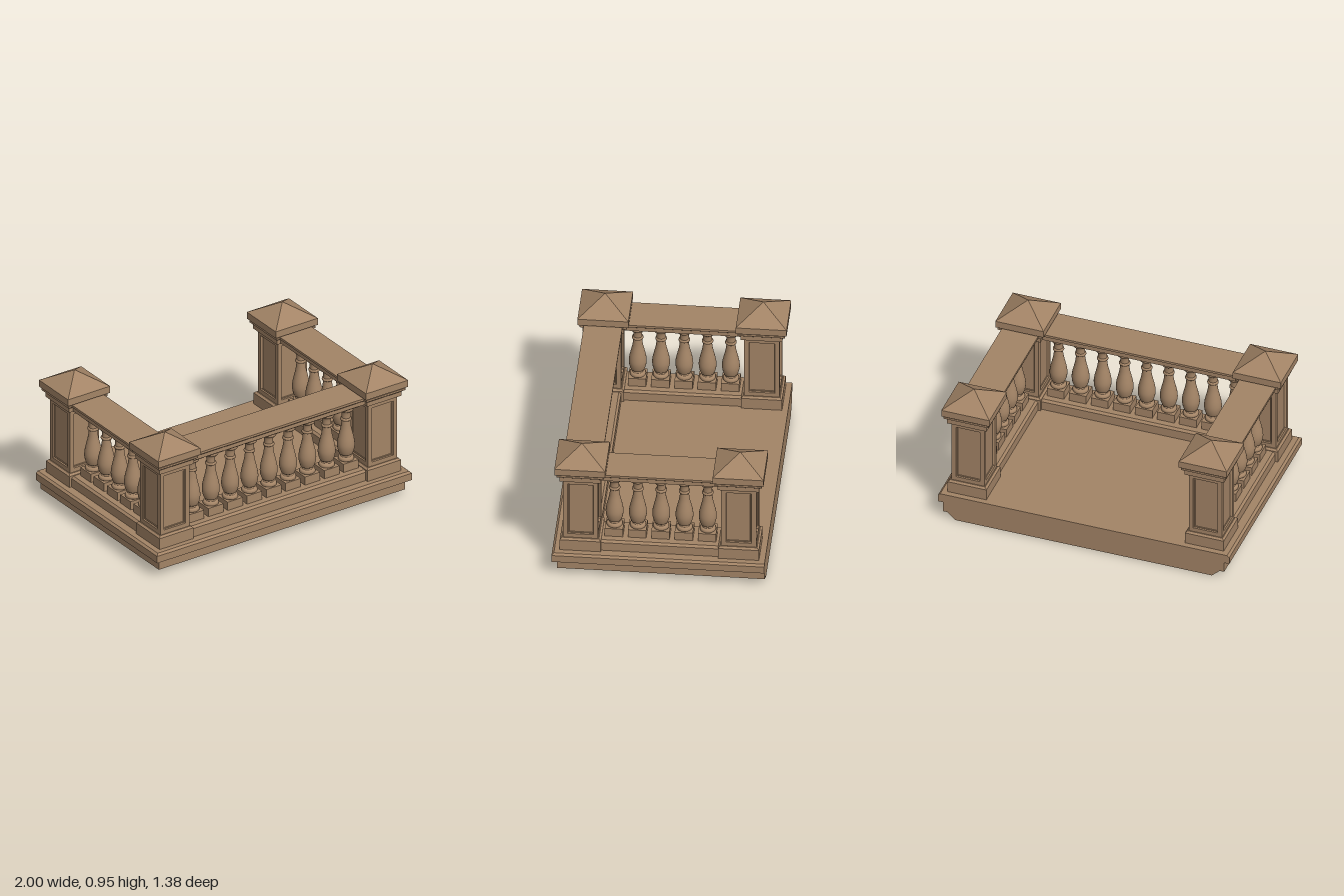
import * as THREE from 'three';

const stone = new THREE.MeshStandardMaterial({ color: 0xa38466 });
stone.name = 'warm stone';

const PX = 0.815, ZF = 0.508, ZB = -0.518; // pillar centres

// Stacks rectangles [y, x0, x1, z0, z1] into a flat-faced solid
function stack(levels, closedBelow = true) {
  const pos = [];
  const ring = ([y, x0, x1, z0, z1]) => [[x0, y, z1], [x1, y, z1], [x1, y, z0], [x0, y, z0]];
  const quad = (a, b, c, d) => pos.push(...a, ...b, ...c, ...a, ...c, ...d);
  const rings = levels.map(ring);
  for (let i = 0; i < rings.length - 1; i++) {
    for (let k = 0; k < 4; k++) {
      const n = (k + 1) % 4;
      quad(rings[i][k], rings[i][n], rings[i + 1][n], rings[i + 1][k]);
    }
  }
  quad(...rings[rings.length - 1]);
  if (closedBelow) quad(...[...rings[0]].reverse());
  const g = new THREE.BufferGeometry();
  g.setAttribute('position', new THREE.Float32BufferAttribute(pos, 3));
  g.computeVertexNormals();
  return g;
}
// Centred version taking [y, halfX, halfZ]
const centred = (levels, closedBelow) =>
  stack(levels.map(([y, x, z = x]) => [y, -x, x, -z, z]), closedBelow);

function add(parent, name, geometry, x = 0, y = 0, z = 0) {
  const m = new THREE.Mesh(geometry, stone);
  m.name = name;
  m.position.set(x, y, z);
  parent.add(m);
  return m;
}

// Moulded floor slab, flat at the back
const slabGeo = stack([
  [0, 0.88, 0.55], [0.05, 0.935, 0.615], [0.05, 0.965, 0.658], [0.122, 0.965, 0.658],
  [0.122, 1, 0.69], [0.172, 1, 0.69], [0.185, 0.985, 0.675],
].map(([y, x, z]) => [y, -x, x, -0.69, z]));

// Pillar pieces
const plinthGeo = centred([[0.18, 0.133], [0.264, 0.133], [0.276, 0.12], [0.276, 0.1]]);
const capitalGeo = centred([
  [0.735, 0.135], [0.766, 0.135], [0.78, 0.153], [0.793, 0.153], [0.804, 0.145],
  [0.804, 0.165], [0.852, 0.165], [0.95, 0.0005],
]);
// One face of the shaft with a sunken panel
const panelGeo = centred([
  [0, 0.114, 0.235], [0, 0.084, 0.198], [-0.008, 0.08, 0.194], [-0.008, 0.075, 0.189], [-0.012, 0.073, 0.187],
], false).rotateX(Math.PI / 2).translate(0, 0.503, 0.114);

function pillar(x, z) {
  const g = new THREE.Group();
  g.name = 'pillar';
  g.position.set(x, 0, z);
  add(g, 'plinth', plinthGeo);
  for (let i = 0; i < 4; i++) add(g, 'shaftPanel', panelGeo).rotation.y = i * Math.PI / 2;
  add(g, 'capital', capitalGeo);
  return g;
}

// Turned baluster body between two square blocks
const footGeo = new THREE.BoxGeometry(0.118, 0.062, 0.118);
const headGeo = new THREE.BoxGeometry(0.118, 0.036, 0.118);
function curvePart(points) {
  const v = points.map(([r, y]) => new THREE.Vector2(r, y));
  const smooth = new THREE.SplineCurve(v).getPoints(points.length * 3);
  return new THREE.LatheGeometry(smooth, 24);
}
const turned = [
  ['footRing', [[0.03, 0.318], [0.049, 0.32], [0.052, 0.33], [0.048, 0.341], [0.036, 0.346]]],
  ['footNeck', [[0.04, 0.342], [0.034, 0.35], [0.035, 0.357], [0.044, 0.363]]],
  ['belly', [[0.044, 0.363], [0.053, 0.39], [0.058, 0.425], [0.054, 0.465], [0.044, 0.51], [0.034, 0.555], [0.028, 0.605]]],
  ['collar', [[0.026, 0.605], [0.036, 0.609], [0.037, 0.616], [0.034, 0.624], [0.026, 0.626]]],
  ['neck', [[0.029, 0.622], [0.029, 0.65], [0.032, 0.668], [0.038, 0.675]]],
  ['headRing', [[0.034, 0.673], [0.046, 0.679], [0.051, 0.69], [0.05, 0.7], [0.044, 0.708]]],
].map(([name, pts]) => [name, curvePart(pts)]);

function baluster(x, z) {
  const g = new THREE.Group();
  g.name = 'baluster';
  g.position.set(x, 0, z);
  add(g, 'footBlock', footGeo, 0, 0.289, 0);
  for (const [name, geo] of turned) add(g, name, geo);
  add(g, 'headBlock', headGeo, 0, 0.723, 0);
  return g;
}

// Top and bottom rails, running along x with the given half length
function rails(half) {
  const g = new THREE.Group();
  g.name = 'rails';
  add(g, 'bottomRail', centred([[0.18, half, 0.115], [0.246, half, 0.115], [0.26, half, 0.1]]));
  add(g, 'topRail', centred([
    [0.739, half, 0.107], [0.766, half, 0.107], [0.78, half, 0.125], [0.796, half, 0.125],
  ]));
  return g;
}

export function createModel() {
  const model = new THREE.Group();
  model.name = 'balcony';
  add(model, 'floorSlab', slabGeo);

  // Front run
  const front = rails(0.72);
  front.position.z = ZF;
  model.add(front);
  for (let i = -4; i <= 4; i++) model.add(baluster(i * 0.1515, ZF));

  // Both sides
  const midZ = (ZF + ZB) / 2;
  for (const s of [-1, 1]) {
    model.add(pillar(s * PX, ZF), pillar(s * PX, ZB));
    const side = rails(0.42);
    side.rotation.y = Math.PI / 2;
    side.position.set(s * PX, 0, midZ);
    model.add(side);
    for (let i = -2; i <= 2; i++) model.add(baluster(s * PX, midZ + i * 0.151));
  }
  return model;
}
